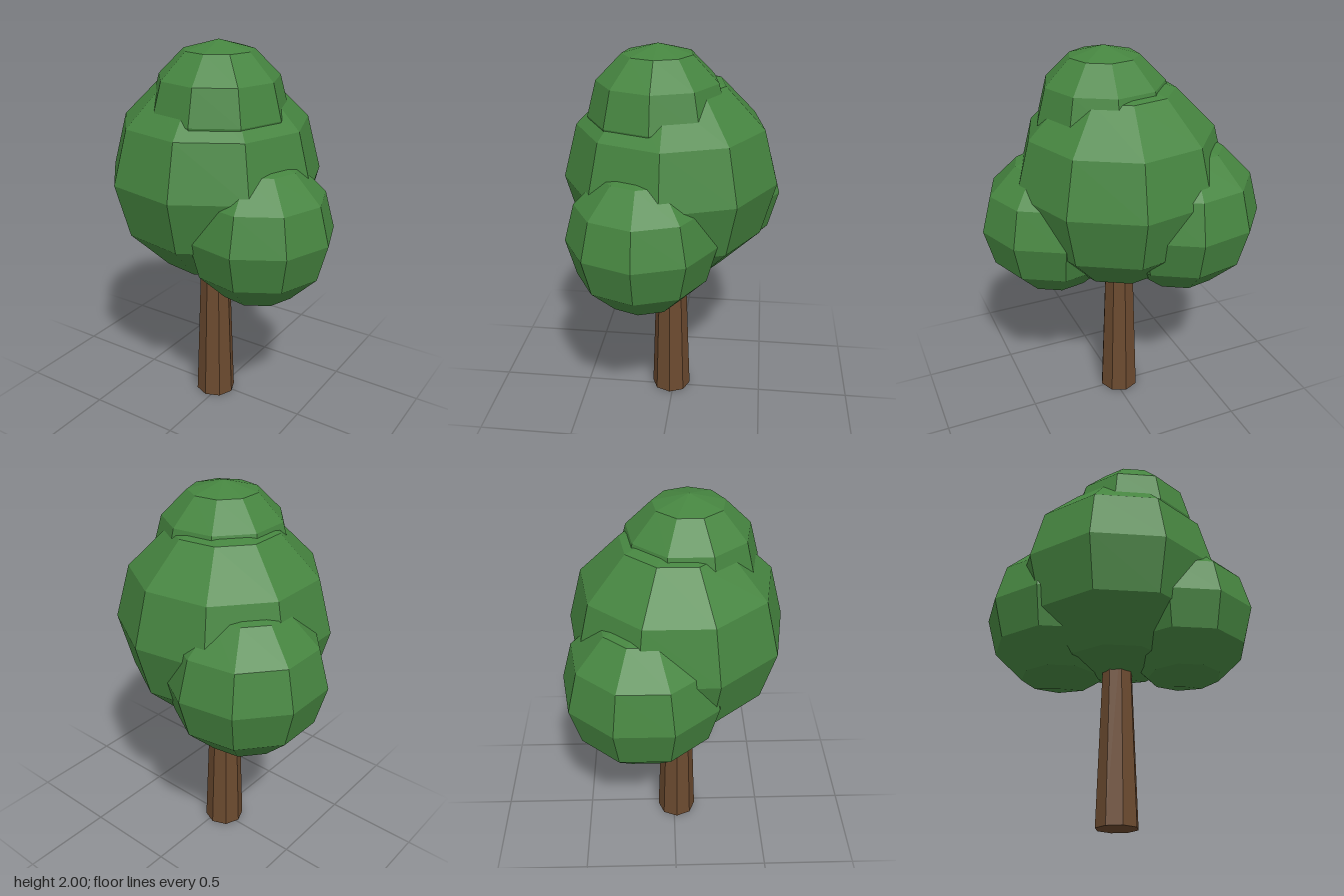
import * as THREE from 'three';

export function createModel() {
  const tree = new THREE.Group();
  tree.name = 'tree';

  const leafGreen = new THREE.MeshStandardMaterial({ color: 0x468540, flatShading: true });
  leafGreen.name = 'leafGreen';
  const barkBrown = new THREE.MeshStandardMaterial({ color: 0x6b4a2f, flatShading: true });
  barkBrown.name = 'barkBrown';

  // Tapered eight-sided trunk, its top hidden inside the crown
  const trunkHeight = 1;
  const trunk = new THREE.Mesh(
    new THREE.CylinderGeometry(0.072, 0.108, trunkHeight, 8), barkBrown);
  trunk.name = 'trunk';
  trunk.position.set(-0.03, trunkHeight / 2, 0.015);
  tree.add(trunk);

  // Faceted foliage balls: nine sides, six bands, one corner on +x
  const addFoliage = (name, radius, x, y, z) => {
    const ball = new THREE.Mesh(new THREE.SphereGeometry(radius, 9, 6), leafGreen);
    ball.name = name;
    ball.position.set(x, y, z);
    ball.rotation.y = Math.PI;
    tree.add(ball);
  };
  addFoliage('mainCrown', 0.55, -0.03, 1.32, 0.012);
  addFoliage('topCrown', 0.35, 0.03, 1.65, 0.07);
  addFoliage('leftFoliage', 0.38, 0.30, 1.10, 0.12);
  addFoliage('rightFoliage', 0.41, -0.30, 1.155, -0.15);

  return tree;
}
